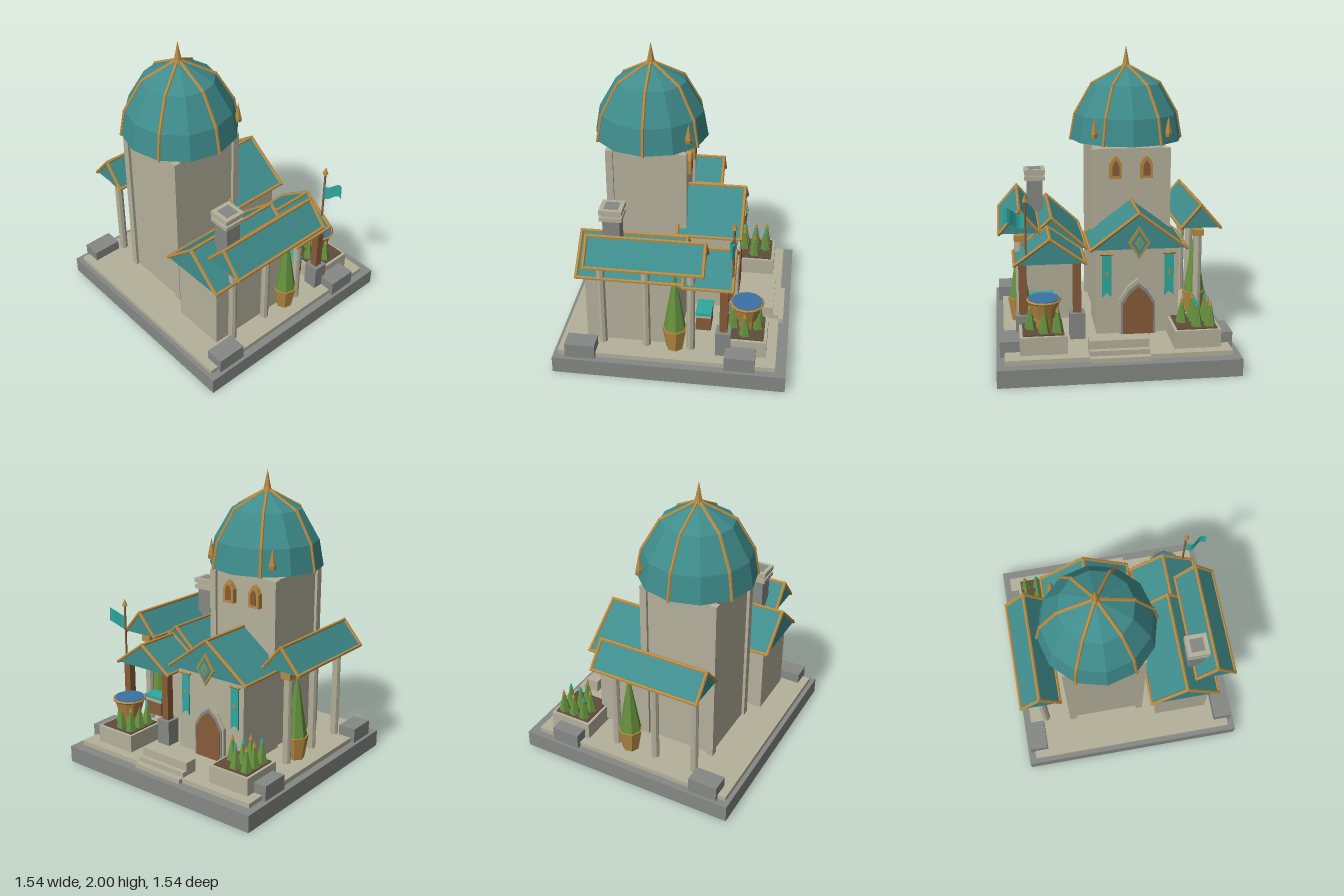
import * as THREE from 'three';

const mat = (name, color) => { const m = new THREE.MeshStandardMaterial({ color }); m.name = name; return m; };

export function createModel() {
  const root = new THREE.Group();
  const teal = mat('roof teal', 0x3f8c8c), cream = mat('plaster', 0xb4b09b), gray = mat('stone gray', 0x858884);
  const gold = mat('gold trim', 0xb58a43), brown = mat('timber', 0x875b38), green = mat('foliage', 0x67913f);
  const blue = mat('water', 0x3a72a6), soil = mat('soil', 0x5f4d3a), bright = mat('banner turquoise', 0x2fa8a0);
  bright.side = THREE.DoubleSide;

  // Faceted mesh
  const add = (name, geo, material, x = 0, y = 0, z = 0) => {
    const g = geo.index ? geo.toNonIndexed() : geo;
    g.computeVertexNormals();
    const m = new THREE.Mesh(g, material);
    m.name = name;
    m.position.set(x, y, z);
    root.add(m);
    return m;
  };
  // Box from its bottom height to its top height
  const box = (name, material, x, z, w, d, y0, y1) =>
    add(name, new THREE.BoxGeometry(w, y1 - y0, d), material, x, (y0 + y1) / 2, z);
  // Tapered round part from bottom to top
  const round = (name, material, x, z, rBottom, rTop, y0, y1, sides) =>
    add(name, new THREE.CylinderGeometry(rTop, rBottom, y1 - y0, sides), material, x, (y0 + y1) / 2, z);
  // Straight trim bar between two points
  const bar = (name, material, a, b, r = 0.012) => {
    const p = new THREE.Vector3(...a), q = new THREE.Vector3(...b), dir = q.clone().sub(p);
    const m = add(name, new THREE.CylinderGeometry(r, r, dir.length() + r, 6), material);
    m.position.copy(p).add(q).multiplyScalar(0.5);
    m.quaternion.setFromUnitVectors(new THREE.Vector3(0, 1, 0), dir.normalize());
  };
  // Flat outline extruded along z
  const plate = (name, material, pts, depth, x, y, z) =>
    add(name, new THREE.ExtrudeGeometry(new THREE.Shape(pts.map(p => new THREE.Vector2(...p))),
      { depth, bevelEnabled: false }), material, x, y, z);
  const arch = (w, h) => [[-w / 2, 0], [w / 2, 0], [w / 2, h * 0.62], [w * 0.27, h * 0.86], [0, h], [-w * 0.27, h * 0.86], [-w / 2, h * 0.62]];

  // Gable roof with gold trim on ridge, eaves and gable edges
  const gable = (name, x, half, z0, z1, eave, ridge) => {
    plate(name, teal, [[-half, eave], [half, eave], [0, ridge]], z1 - z0, x, 0, z0);
    bar(name + 'Ridge', gold, [x, ridge, z0], [x, ridge, z1]);
    for (const s of [-1, 1]) {
      bar(name + 'Eave', gold, [x + s * half, eave, z0], [x + s * half, eave, z1]);
      for (const z of [z0, z1]) bar(name + 'Edge', gold, [x + s * half, eave, z], [x, ridge, z]);
    }
  };

  // Ground
  box('foundation', gray, 0, 0, 1.54, 1.54, 0, 0.115);
  box('terrace', cream, 0, 0.02, 1.44, 1.44, 0.115, 0.147);
  for (const s of [-1, 1]) {
    box('cornerBlock', gray, s * 0.685, 0.585, 0.125, 0.2, 0.115, 0.217);
    box('cornerBlock', gray, s * 0.685, -0.467, 0.125, 0.2, 0.115, 0.217);
  }
  box('lowerStep', cream, 0, -0.65, 0.38, 0.16, 0.115, 0.147);
  box('middleStep', cream, 0, -0.63, 0.38, 0.12, 0.147, 0.18);
  box('upperStep', cream, 0, -0.612, 0.38, 0.09, 0.18, 0.235);

  // Tower with corner piers
  const tx = -0.157, tz = 0.23;
  box('tower', cream, tx, tz, 0.5, 0.5, 0.165, 1.335);
  for (const sx of [-1, 1]) for (const sz of [-1, 1])
    box('towerPier', cream, tx + sx * 0.246, tz + sz * 0.246, 0.048, 0.048, 0.165, 1.335);
  for (const s of [-1, 1]) {
    const wx = tx + s * 0.105;
    plate('towerWindowFrame', gold, arch(0.085, 0.155), 0.035, wx, 1.135, -0.055);
    plate('towerWindowPane', brown, arch(0.045, 0.105), 0.006, wx, 1.155, -0.06);
  }

  // Faceted dome with six ribs
  const profile = [[0.385, 1.365], [0.353, 1.54], [0.235, 1.745], [0.015, 1.865]];
  const domePts = [[0, 1.365], ...profile, [0, 1.867]].map(p => new THREE.Vector2(...p));
  add('dome', new THREE.LatheGeometry(domePts, 12), teal, tx, 0, tz);
  for (let k = 0; k < 6; k++) {
    const a = k * Math.PI / 3 + Math.PI / 2;
    const at = ([r, y]) => [tx + r * Math.sin(a), y, tz + r * Math.cos(a)];
    for (let i = 0; i < 3; i++) bar('domeRib', gold, at(profile[i]), at(profile[i + 1]), 0.011);
  }
  round('domeFinialBase', gold, tx, tz, 0.034, 0.024, 1.845, 1.88, 6);
  round('domeFinial', gold, tx, tz, 0.026, 0, 1.87, 2, 6);
  for (const s of [-1, 1]) {
    const fx = tx + s * 0.248;
    round('smallFinialBase', gold, fx, -0.05, 0.022, 0.026, 1.415, 1.44, 6);
    round('smallFinial', gold, fx, -0.05, 0.024, 0, 1.44, 1.555, 6);
  }

  // Entrance hall with door, banners and gable ornament
  box('hall', cream, tx, -0.18, 0.54, 0.38, 0.165, 0.75);
  gable('hallRoof', tx, 0.313, -0.415, 0.02, 0.75, 0.985);
  plate('doorFrame', cream, arch(0.25, 0.38), 0.03, tx, 0.165, -0.392);
  plate('doorEdge', gray, arch(0.225, 0.35), 0.008, tx, 0.165, -0.397);
  plate('door', brown, arch(0.2, 0.325), 0.008, tx, 0.165, -0.402);
  const diamond = (w, h) => [[-w, 0], [0, -h], [w, 0], [0, h]];
  plate('ornamentFrame', gold, diamond(0.072, 0.11), 0.012, tx, 0.795, -0.428);
  plate('ornamentPanel', teal, diamond(0.052, 0.083), 0.006, tx, 0.795, -0.433);
  plate('ornamentRing', gold, diamond(0.03, 0.048), 0.005, tx, 0.795, -0.437);
  plate('ornamentCore', bright, diamond(0.018, 0.03), 0.004, tx, 0.795, -0.44);
  for (const s of [-1, 1]) {
    const bx = tx + s * 0.205;
    plate('banner', bright, [[-0.03, 0], [0, 0.03], [0.03, 0], [0.03, 0.29], [-0.03, 0.29]], 0.008, bx, 0.42, -0.383);
    bar('bannerRod', gold, [bx - 0.038, 0.71, -0.38], [bx + 0.038, 0.71, -0.38], 0.008);
    plate('bannerMark', gold, diamond(0.012, 0.02), 0.004, bx, 0.58, -0.386);
  }

  // Side house and chimney
  box('house', cream, 0.387, 0.255, 0.37, 0.62, 0.165, 0.67);
  gable('houseRoof', 0.385, 0.235, -0.085, 0.61, 0.67, 0.885);
  box('chimney', gray, 0.475, 0.385, 0.11, 0.11, 0.67, 1.06);
  box('chimneyLowerCap', cream, 0.475, 0.385, 0.145, 0.145, 1.055, 1.083);
  box('chimneyNeck', cream, 0.475, 0.385, 0.12, 0.12, 1.083, 1.1);
  box('chimneyTopCap', cream, 0.475, 0.385, 0.148, 0.148, 1.1, 1.133);
  box('chimneyOpening', gray, 0.475, 0.385, 0.09, 0.09, 1.13, 1.136);

  // Colonnades with potted trees, mirrored
  for (const s of [-1, 1]) {
    const x = s * 0.602;
    gable('colonnadeRoof', x, 0.133, -0.225, 0.53, 0.825, 0.98);
    for (const z of [0.452, 0.16, -0.135]) {
      round('column', cream, x, z, 0.028, 0.028, 0.165, 0.755, 8);
      box('capital', gold, x, z, 0.072, 0.068, 0.753, 0.795);
    }
    round('treePot', gold, x, -0.03, 0.058, 0.085, 0.165, 0.325, 7);
    round('tree', green, x, -0.03, 0.075, 0, 0.32, 0.775, 7);
  }

  // Timber porch, stall and flag
  gable('porchRoof', 0.415, 0.228, -0.405, -0.085, 0.665, 0.83);
  for (const x of [0.24, 0.59]) {
    box('porchPlinth', gray, x, -0.35, 0.1, 0.1, 0.147, 0.322);
    box('porchPost', brown, x, -0.35, 0.052, 0.052, 0.322, 0.67);
  }
  box('stall', brown, 0.46, -0.21, 0.15, 0.1, 0.265, 0.36);
  box('stallTop', cream, 0.46, -0.21, 0.15, 0.1, 0.36, 0.383);
  box('stallCloth', bright, 0.46, -0.21, 0.16, 0.105, 0.383, 0.402);
  bar('flagPole', brown, [0.567, 0.7, -0.4], [0.567, 1.09, -0.4], 0.007);
  round('flagTip', gold, 0.567, -0.4, 0.02, 0, 1.08, 1.13, 6);
  const flag = new THREE.PlaneGeometry(0.145, 0.095, 8, 1), fp = flag.attributes.position;
  for (let i = 0; i < fp.count; i++) {
    const u = fp.getX(i) / 0.145 + 0.5;
    fp.setZ(i, 0.018 * Math.sin(u * 6));
    fp.setY(i, fp.getY(i) + 0.035 * u - 0.015 * Math.sin(u * 6));
  }
  add('flag', flag, bright, 0.642, 0.955, -0.395);

  // Planters with pointed shrubs
  const spots = [[0, 0], [1, 0], [0, 1], [1, 1], [2, 1], [0, 2], [1, 2]];
  for (const px of [-0.507, 0.472]) {
    box('planter', cream, px, -0.483, 0.3, 0.3, 0.147, 0.265);
    box('planterSoil', soil, px, -0.483, 0.26, 0.26, 0.262, 0.272);
    spots.forEach(([i, j], n) => {
      const x = px - 0.09 + i * 0.085, z = -0.565 + j * 0.08;
      round('shrub', green, x, z, 0.039, 0.008, 0.27, 0.415, 5);
      round('shrubBloom', n % 2 ? bright : gold, x, z, 0.014, 0, 0.405, 0.445, 5);
    });
  }

  // Water basin over the second planter
  round('basinStem', gold, 0.462, -0.49, 0.05, 0.06, 0.27, 0.36, 8);
  round('basin', gold, 0.462, -0.49, 0.072, 0.105, 0.35, 0.465, 12);
  const rim = add('basinRim', new THREE.TorusGeometry(0.104, 0.01, 5, 12), gold, 0.462, 0.464, -0.49);
  rim.rotation.x = Math.PI / 2;
  round('water', blue, 0.462, -0.49, 0.1, 0.1, 0.463, 0.476, 12);
  return root;
}
